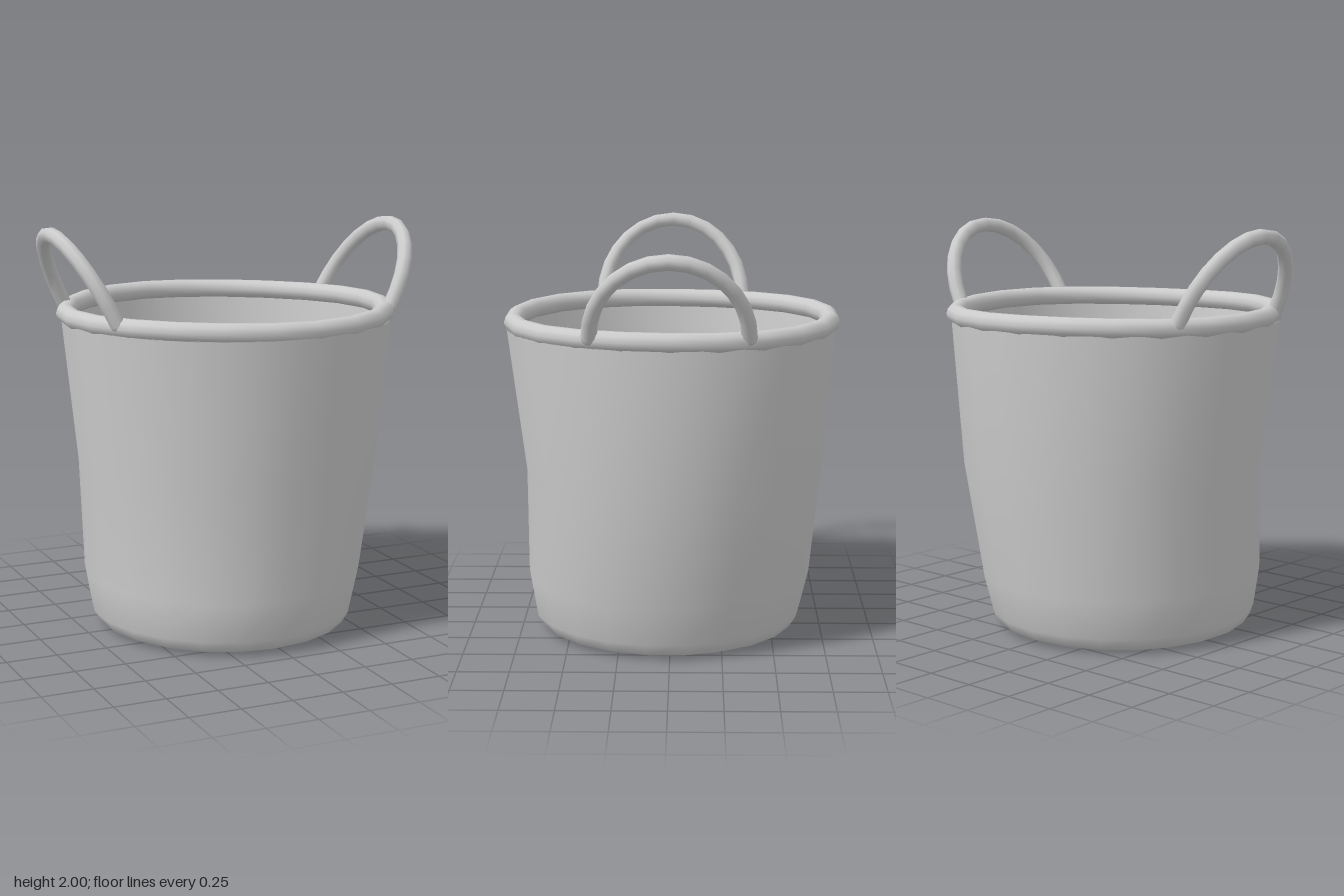
import * as THREE from 'three';

const SIDES = 22;
const material = new THREE.MeshStandardMaterial({ color: 0xcccccc });

// Skins a stack of oval rings, each given as [y, xMin, xMax, zMin, zMax]
function loft(rings) {
  const pos = [], index = [];
  rings.forEach(([y, x0, x1, z0, z1], i) => {
    for (let j = 0; j < SIDES; j++) {
      const a = ((j + 0.5) / SIDES) * Math.PI * 2;
      pos.push((x0 + x1) / 2 + ((x1 - x0) / 2) * Math.cos(a), y, (z0 + z1) / 2 + ((z1 - z0) / 2) * Math.sin(a));
      if (i === rings.length - 1) continue;
      const p = i * SIDES + j, q = i * SIDES + ((j + 1) % SIDES);
      index.push(p, p + SIDES, q, q, p + SIDES, q + SIDES);
    }
  });
  const g = new THREE.BufferGeometry();
  g.setAttribute('position', new THREE.Float32BufferAttribute(pos, 3));
  g.setIndex(index);
  g.computeVertexNormals();
  return g;
}

export function createModel() {
  const group = new THREE.Group();
  const add = (name, geometry, parent = group) => {
    const mesh = new THREE.Mesh(geometry, material);
    mesh.name = name;
    parent.add(mesh);
    return mesh;
  };

  // Slightly lopsided thin-walled tub: outside upwards, then inside downwards
  const outer = [
    [0, -0.56, 0.47, -0.51, 0.55],
    [0.003, -0.61, 0.52, -0.56, 0.6],
    [0.025, -0.66, 0.575, -0.615, 0.655],
    [0.08, -0.695, 0.605, -0.65, 0.69],
    [0.27, -0.725, 0.65, -0.695, 0.72],
    [0.8, -0.74, 0.745, -0.745, 0.72],
    [1.53, -0.82, 0.8, -0.81, 0.815],
  ];
  const t = 0.025;
  const inner = outer.map(([y, x0, x1, z0, z1]) =>
    [Math.max(y, 0.02 + y * 0.9), x0 + t, x1 - t, z0 + t, z1 - t]).reverse();
  const centre = (y) => [y, -0.045, -0.045, 0.02, 0.02];
  add('tub', loft([centre(0), ...outer, ...inner, centre(0.02)]));

  // Rolled rim, a little uneven in height
  const rimPoints = [];
  for (let i = 0; i < SIDES; i++) {
    const a = (i / SIDES) * Math.PI * 2;
    rimPoints.push(new THREE.Vector3(
      -0.01 + 0.782 * Math.cos(a),
      1.562 + 0.005 * Math.sin(3 * a + 1),
      -0.004 + 0.778 * Math.sin(a)));
  }
  const rimCurve = new THREE.CatmullRomCurve3(rimPoints, true);
  add('rim', new THREE.TubeGeometry(rimCurve, SIDES, 0.047, 10, true));

  // Arched handles leaning outwards, with rounded ends set into the rim
  const handles = [
    ['leftHandle', 0.705, 0.905, 1.947],
    ['rightHandle', -0.715, -0.905, 1.965],
  ];
  for (const [name, footX, topX, topY] of handles) {
    const handle = new THREE.Group();
    handle.name = name;
    group.add(handle);
    const points = [];
    for (let i = 0; i <= 12; i++) {
      const a = (i / 12) * Math.PI, s = Math.sin(a);
      points.push(new THREE.Vector3(
        footX + (topX - footX) * s, 1.58 + (topY - 1.58) * s, 0.365 * Math.cos(a)));
    }
    add('grip', new THREE.TubeGeometry(new THREE.CatmullRomCurve3(points), 14, 0.037, 8), handle);
    for (const p of [points[0], points[12]])
      add('gripEnd', new THREE.SphereGeometry(0.037, 8, 6), handle).position.copy(p);
  }
  return group;
}
